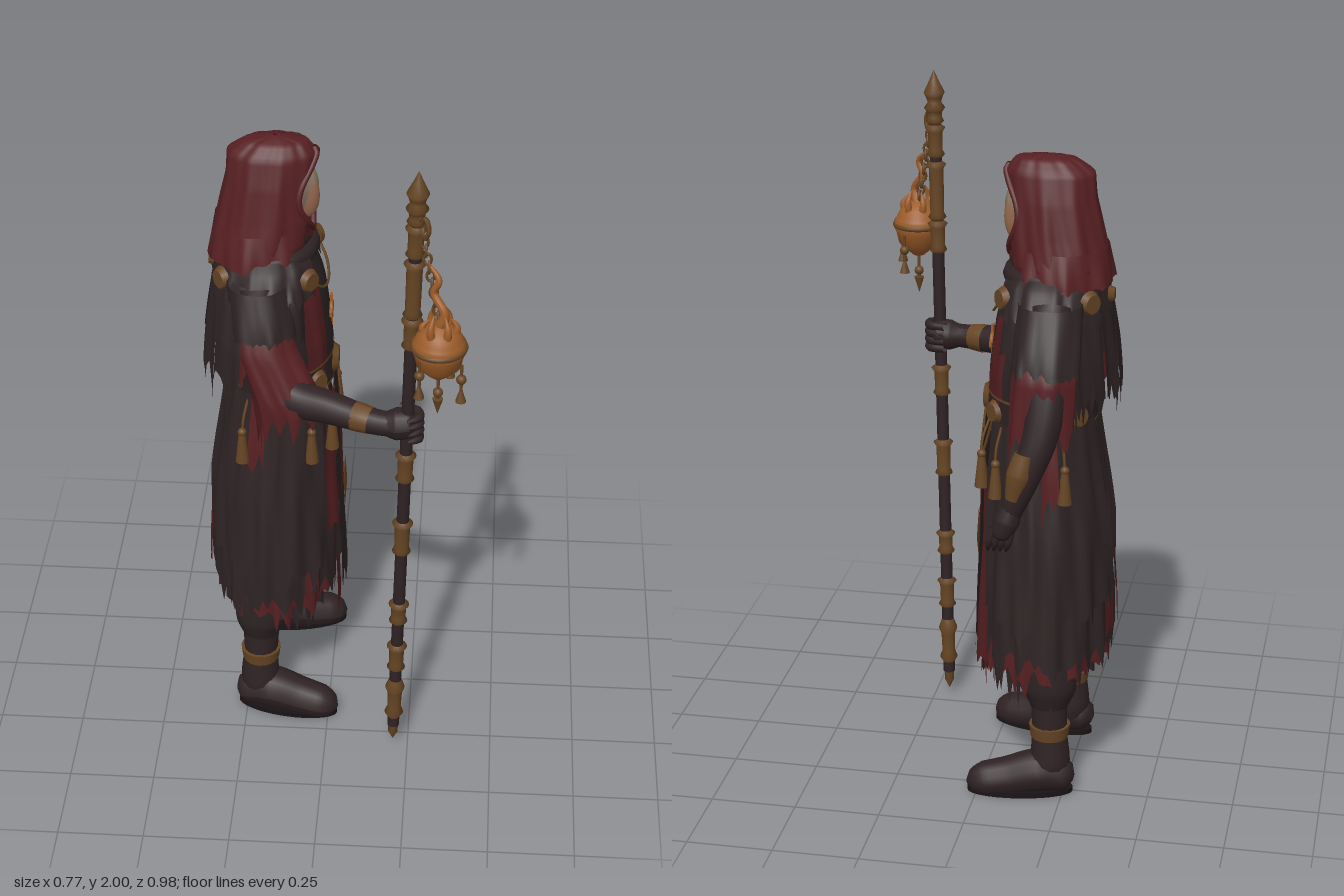
import * as THREE from 'three';

const paint = (name, color) => {
  const m = new THREE.MeshStandardMaterial({ color, side: THREE.DoubleSide });
  m.name = name;
  return m;
};
const dark = paint('dark cloth', 0x2e2324), red = paint('red cloth', 0x561f22);
const leather = paint('leather', 0x2f2224), bronze = paint('bronze', 0x664524);
const copper = paint('copper', 0x9c5c2a), bone = paint('bone', 0x948169);
const black = paint('shadow black', 0x191315), tan = paint('beak tan', 0x94664c);

const V = (x, y, z) => new THREE.Vector3(x, y, z);
const rad = THREE.MathUtils.degToRad;
let seed = 7;
const rnd = () => (seed = (seed * 16807) % 2147483647) / 2147483647;
const ZC = -0.065; // body axis in z; the figure faces +x

// Profiles: rows of [y, centre x, centre z, radius x, radius z], top to bottom
const TORSO = [[1.62, -0.18, ZC, .07, .08], [1.53, -.18, ZC, .11, .15], [1.42, -.175, ZC, .14, .2],
  [1.27, -.155, ZC, .14, .2], [1.1, -.15, ZC, .142, .175]];
const SKIRT = [[1.16, -.15, ZC, .136, .174], [1.0, -.155, ZC, .152, .205], [.8, -.168, ZC, .17, .24],
  [.55, -.17, ZC, .185, .275], [.2, -.17, ZC, .198, .3]];
const CAPE = [[1.58, -.185, ZC, .09, .1], [1.53, -.18, ZC, .135, .17], [1.45, -.18, ZC, .152, .24],
  [1.33, -.18, ZC, .168, .29], [1.1, -.19, ZC, .185, .3]];
const HOOD = [[1.876, -.16, ZC, .004, .004], [1.866, -.155, ZC, .085, .042], [1.83, -.168, ZC, .125, .074],
  [1.75, -.175, ZC, .125, .1], [1.65, -.185, ZC, .138, .124], [1.57, -.2, ZC, .142, .145], [1.52, -.2, ZC, .125, .13]];

function at(profile, y) {
  let i = 0;
  while (i < profile.length - 2 && y < profile[i + 1][0]) i++;
  const a = profile[i], b = profile[i + 1], k = (a[0] - y) / (a[0] - b[0]);
  return a.map((v, j) => v + (b[j] - v) * k);
}
function onSurface(profile, y, deg, off = 0) {
  const [, cx, cz, rx, rz] = at(profile, y), a = rad(deg);
  return V(cx + (rx + off) * Math.cos(a), y, cz + (rz + off) * Math.sin(a));
}

export function createModel() {
  const model = new THREE.Group();
  const add = (name, geo, mat, parent = model) => {
    const m = new THREE.Mesh(geo, mat);
    m.name = name;
    parent.add(m);
    return m;
  };

  // Cloth sheet following a profile between two heights and two angles, with folds and a torn hem
  function cloth(name, mat, profile, y0, y1, a0, a1, o = {}) {
    const { off = 0, jag = 0, fold = 0, waves = 14, rows = 14, open } = o;
    const n = Math.max(4, Math.round((a1 - a0) / (o.step || 4))), pos = [], idx = [];
    const drop = Array.from({ length: n + 1 }, (_, j) => jag * rnd() * (j % 3 ? .45 : 1));
    if (a1 - a0 === 360) drop[n] = drop[0];
    for (let i = 0; i <= rows; i++) {
      const t = i / rows, w = open ? open(t) : 0;
      for (let j = 0; j <= n; j++) {
        const deg = a0 + w + (a1 - a0 - 2 * w) * j / n, a = rad(deg);
        const y = y0 + (y1 - y0) * t;
        const f = fold * (.3 + .7 * t) * (Math.sin(a * waves + y * 5) + .5 * Math.sin(a * (waves + 9) - y * 9));
        const p = onSurface(profile, y, deg, off + f);
        pos.push(p.x, p.y - drop[j] * t ** 6, p.z);
        if (i < rows && j < n) {
          const q = i * (n + 1) + j, r = q + n + 1;
          idx.push(q, q + 1, r, q + 1, r + 1, r);
        }
      }
    }
    const g = new THREE.BufferGeometry();
    g.setAttribute('position', new THREE.Float32BufferAttribute(pos, 3));
    g.setIndex(idx);
    g.computeVertexNormals();
    return add(name, g, mat);
  }

  // Tube whose radius changes along points of [x, y, z, radius]; it never sinks below the floor
  function limb(name, mat, pts, seg = 24) {
    const curve = new THREE.CatmullRomCurve3(pts.map(p => V(p[0], p[1], p[2])));
    const g = new THREE.TubeGeometry(curve, seg, 1, 14), p = g.attributes.position;
    for (let i = 0; i < p.count; i++) {
      const u = Math.floor(i / 15) / seg, c = curve.getPointAt(u);
      const s = curve.getUtoTmapping(u) * (pts.length - 1), k = Math.min(Math.floor(s), pts.length - 2);
      const r = pts[k][3] + (pts[k + 1][3] - pts[k][3]) * (s - k);
      const v = V().fromBufferAttribute(p, i).sub(c).multiplyScalar(r).add(c);
      p.setXYZ(i, v.x, Math.max(v.y, 0), v.z);
    }
    g.computeVertexNormals();
    return add(name, g, mat);
  }
  const cord = (name, mat, pts, r) =>
    add(name, new THREE.TubeGeometry(new THREE.CatmullRomCurve3(pts), 24, r, 6), mat);
  const ball = (name, mat, p, sx, sy = sx, sz = sx) => {
    const m = add(name, new THREE.SphereGeometry(1, 16, 12).scale(sx, sy, sz), mat);
    m.position.copy(p);
    return m;
  };
  function medallion(name, p, deg, r, sides = 16) {
    const g = new THREE.CylinderGeometry(r * .75, r, .018, sides).rotateZ(-Math.PI / 2).rotateY(-rad(deg));
    add(name, g, bronze).position.copy(p);
  }

  // Robe: torso, chest strips, layered skirt
  cloth('robeTorso', dark, TORSO, 1.62, 1.1, 0, 360, { fold: .004 });
  for (const s of [0, 1]) {
    const range = (a, b) => s ? [-b, -a] : [a, b];
    cloth('chestRedStrip', red, TORSO, 1.53, 1.17, ...range(20, 52), { off: .012, fold: .003 });
    cloth('frontRedPanel', red, SKIRT, s ? .98 : 1.08, s ? .42 : .64, ...range(s ? 19 : 16, s ? 44 : 32),
      { off: .018, jag: .1, fold: .005 });
    cloth('frontDarkFlap', dark, SKIRT, 1.13, .58, ...range(40, 82), { off: .022, jag: .16, fold: .008 });
    cloth('sideRedStrip', red, SKIRT, 1.13, .96, ...range(100, 122), { off: .02, jag: .12, fold: .006 });
    cloth('backFlap', dark, SKIRT, 1.13, .62, ...range(115, 165), { off: .022, jag: .16, fold: .008 });
    cloth('backRedStrip', red, SKIRT, .9, .5, ...range(158, 172), { off: .016, jag: .1 });
  }
  cloth('lowFrontRedStrip', red, SKIRT, .85, .5, 46, 58, { off: .012, jag: .1, fold: .004 });
  cloth('chestDarkPanel', dark, TORSO, 1.58, 1.17, -21, 21, { off: .014 });
  cloth('underSkirt', red, SKIRT, .75, .42, 0, 360, { off: -.012, jag: .1, fold: .009 });
  cloth('skirt', dark, SKIRT, 1.16, .47, 0, 360, { jag: .14, fold: .009 });
  cloth('innerSkirt', dark, SKIRT, .7, .4, 0, 360, { off: -.035, jag: .14, fold: .008 });
  cloth('frontTabard', dark, SKIRT, 1.13, .42, -15, 15, { off: .022, jag: .1, fold: .002, step: 3 });
  cloth('frontTabardStripe', red, SKIRT, 1.06, .74, -9, 9, { off: .027, jag: .09, step: 3 });
  cloth('frontHemTail', red, SKIRT, .45, .3, -11, 11, { off: .0, jag: .08 });
  const diamond = add('tabardDiamond', new THREE.OctahedronGeometry(1).scale(.006, .09, .034), bronze);
  diamond.position.copy(onSurface(SKIRT, .72, 0, .031));

  // Belt with medallions and hanging vials
  cloth('belt', leather, TORSO, 1.2, 1.115, 0, 360, { off: .014, rows: 4 });
  for (const y of [1.2, 1.115]) cloth('beltEdge', bronze, TORSO, y + .004, y - .004, 0, 360, { off: .016, rows: 2 });
  for (const a of [0, 42, -42, 90, -90, 140, -140])
    medallion('beltMedallion', onSurface(TORSO, 1.155, a, .02), a, a ? .036 : .046, a ? 12 : 8);
  for (const a of [30, -30, 55, -55, 120, -120]) {
    const p = onSurface(SKIRT, 1.0, a, .034);
    cord('vialCord', bronze, [onSurface(TORSO, 1.12, a, .018), onSurface(SKIRT, 1.06, a, .036), p], .004);
    add('hangingVial', new THREE.CylinderGeometry(.01, .021, .1, 10), bronze).position.set(p.x, .97, p.z);
    ball('vialCap', bronze, V(p.x, 1.02, p.z), .013);
  }
  for (const s of [1, -1]) cord('beltChain', bronze, [onSurface(TORSO, 1.12, s * 40, .022),
    onSurface(SKIRT, 1.0, s * 22, .028), onSurface(SKIRT, .98, s * 8, .03), onSurface(TORSO, 1.12, 0, .025)], .004);

  // Capelet over the shoulders, with torn strips at the back
  cloth('capeUnderRed', red, CAPE, 1.4, 1.28, 100, 260, { off: -.012, jag: .08, fold: .006 });
  cloth('shoulderCape', dark, CAPE, 1.58, 1.37, 42, 318, { jag: .1, fold: .006 });
  cloth('upperCape', dark, CAPE, 1.59, 1.46, 30, 330, { off: .01, jag: .05, fold: .005 });
  for (let a = 108; a < 250; a += 16)
    cloth('capeStrip', dark, CAPE, 1.5, 1.24, a, a + 17, { off: .004 + .012 * rnd(), jag: .13, fold: .005, step: 3 });
  for (const a of [38, -38, 142, -142]) medallion('capeClasp', onSurface(CAPE, 1.49, a, .016), a, .036);
  medallion('backClasp', onSurface(CAPE, 1.48, 180, .018), 180, .025, 6);
  cord('chestChain', bronze, [38, 18, 0, -18, -38].map((a, i) =>
    onSurface(CAPE, 1.49 - [0, .05, .07, .05, 0][i], a, .012)), .004);
  for (const [y, r] of [[1.575, .095], [1.535, .112]])
    add('neckScarf', new THREE.TorusGeometry(1, .22, 8, 32).rotateX(Math.PI / 2).scale(r, .13, r * 1.15), dark)
      .position.set(-.172, y, ZC);

  // Chest emblem
  const emblem = onSurface(TORSO, 1.32, 0, .018);
  for (const [h, w] of [[.1, .014], [.014, .075]])
    add('emblemBar', new THREE.BoxGeometry(.008, h, w), copper).position.copy(emblem);
  add('emblemRing', new THREE.TorusGeometry(.022, .006, 6, 16).rotateY(Math.PI / 2), copper).position.copy(emblem);

  // Hood with an open face and a rolled rim
  const gape = t => 46 * Math.sin(Math.PI * THREE.MathUtils.clamp((t - .1) / .72, 0, 1));
  cloth('hood', red, HOOD, 1.876, 1.52, 0, 360, { open: gape, fold: .005, waves: 9, rows: 36 });
  const rim = [];
  for (let i = -20; i <= 20; i++) {
    const t = .1 + .72 * (1 - Math.abs(i) / 20);
    rim.push(onSurface(HOOD, 1.876 - .356 * t, Math.sign(i) * gape(t), 0));
  }
  add('hoodRim', new THREE.TubeGeometry(new THREE.CatmullRomCurve3(rim), 80, .009, 8), red);
  cloth('cowl', red, [[1.62, -.2, ZC, .135, .135], [1.5, -.205, ZC, .15, .18]], 1.62, 1.53, 50, 310,
    { jag: .03, fold: .007, waves: 7 });
  ball('hoodShadow', black, V(-.18, 1.71, ZC), .09, .13, .08);

  // Beaked mask: an ellipsoid pulled forward into a ridge that tapers to the chin
  const mask = new THREE.SphereGeometry(1, 32, 24), mp = mask.attributes.position;
  for (let i = 0; i < mp.count; i++) {
    const x = mp.getX(i), y = mp.getY(i), z = mp.getZ(i);
    const ridge = x > 0 ? .026 * Math.max(0, 1 - Math.abs(z) * 2.2) * (1 - y * y) : 0;
    mp.setXYZ(i, x * .048 + ridge, y * .108, z * (y < 0 ? .058 * (1 + y * .45) : .058));
  }
  mask.computeVertexNormals();
  add('mask', mask, bone).position.set(-.112, 1.722, ZC);
  ball('beak', tan, V(-.072, 1.69, ZC), .036, .07, .022);
  for (const s of [1, -1]) ball('eyeSlot', black, V(-.073, 1.75, ZC + s * .032), .006, .006, .011);

  // Free arm hanging on the -z side
  limb('freeArm', leather, [[-.2, 1.48, -.24, .06], [-.21, 1.32, -.34, .063], [-.2, 1.17, -.405, .05],
    [-.16, 1.05, -.435, .042], [-.13, .97, -.44, .034], [-.12, .94, -.44, .03]]);
  limb('freeHand', leather, [[-.13, .98, -.44, .028], [-.115, .93, -.445, .037], [-.1, .89, -.445, .03], [-.095, .87, -.44, .006]]);
  for (let i = 0; i < 4; i++) limb('finger', leather, [[-.13 + i * .018, .91, -.45, .011],
    [-.12 + i * .018, .865, -.45, .011], [-.11 + i * .017, .835, -.435, .004]], 8);
  limb('thumb', leather, [[-.1, .95, -.42, .013], [-.08, .91, -.405, .011], [-.075, .88, -.4, .004]], 8);
  limb('freeBracer', bronze, [[-.165, 1.13, -.442, .03], [-.15, 1.07, -.452, .036], [-.135, 1.0, -.455, .024]]);
  const freeSleeve = [[1.5, -.2, -.25, .08, .07], [1.32, -.2, -.34, .088, .075], [1.1, -.185, -.365, .09, .07]];
  cloth('freeSleeve', red, freeSleeve, 1.42, 1.19, 0, 360, { jag: .13, fold: .007, waves: 6, step: 9 });
  cloth('freeUpperSleeve', dark, freeSleeve, 1.5, 1.34, 0, 360, { off: .008, jag: .06, fold: .005, waves: 6, step: 9 });

  // Arm reaching forward to the staff
  limb('staffArm', leather, [[-.2, 1.48, .1, .06], [-.19, 1.34, .165, .06], [-.11, 1.22, .225, .056],
    [.02, 1.205, .275, .046], [.14, 1.195, .318, .036], [.21, 1.195, .333, .034]]);
  limb('armBand', bronze, [[.085, 1.198, .298, .043], [.105, 1.198, .306, .042], [.13, 1.196, .315, .039]], 8);
  limb('staffHand', leather, [[.16, 1.195, .325, .03], [.2, 1.195, .325, .046], [.24, 1.2, .325, .044], [.27, 1.2, .325, .012]]);
  for (let i = 0; i < 4; i++) limb('grippingFinger', leather, [[.21, 1.23 - i * .023, .29, .012],
    [.257, 1.228 - i * .023, .305, .014], [.265, 1.228 - i * .023, .34, .013], [.235, 1.228 - i * .023, .365, .006]], 10);
  const staffSleeve = [[1.5, -.2, .1, .075, .07], [1.34, -.175, .17, .085, .075], [1.2, -.105, .22, .092, .072],
    [1.0, -.085, .22, .06, .05]];
  cloth('staffSleeve', red, staffSleeve, 1.42, 1.17, 0, 360, { jag: .15, fold: .007, waves: 6, step: 9 });
  cloth('staffUpperSleeve', dark, staffSleeve, 1.5, 1.38, 0, 360, { off: .008, jag: .06, fold: .005, waves: 6, step: 9 });

  // Legs, boots and bronze cuffs
  for (const s of [1, -1]) {
    const z = d => ZC + s * d, side = s > 0 ? 'left' : 'right';
    limb(side + 'Trouser', dark, [[-.18, .62, z(.13), .08], [-.195, .42, z(.175), .085], [-.205, .33, z(.18), .08], [-.205, .265, z(.186), .05]]);
    limb(side + 'BootShaft', leather, [[-.205, .32, z(.184), .055], [-.208, .2, z(.188), .051], [-.21, .1, z(.19), .06], [-.2, .04, z(.19), .052]]);
    limb(side + 'Foot', leather, [[-.28, .045, z(.19), .012], [-.265, .05, z(.192), .044], [-.18, .065, z(.198), .065],
      [-.09, .045, z(.212), .058], [-.02, .035, z(.228), .053], [.015, .03, z(.235), .036], [.03, .028, z(.238), .004]]);
    const sole = add(side + 'Sole', new THREE.CylinderGeometry(1, 1, .016, 28).scale(.155, 1, .055), black);
    sole.position.set(-.125, .008, z(.21));
    sole.rotation.y = -s * .16;
    add(side + 'BootCuff', new THREE.CylinderGeometry(.06, .055, .038, 20), bronze).position.set(-.208, .198, z(.188));
  }

  // Leaning staff with bronze collars and a spear finial; heights run along the staff
  const staff = new THREE.Group();
  staff.name = 'staff';
  staff.position.set(.205, .02, .3);
  staff.quaternion.setFromUnitVectors(V(0, 1, 0), V(.045, 1.98, .045).normalize());
  model.add(staff);
  add('staffShaft', new THREE.CylinderGeometry(.018, .018, 1.82, 14).translate(0, .97, 0), leather, staff);
  const turned = (name, pts) => add(name, new THREE.LatheGeometry(pts.map(p => new THREE.Vector2(...p)), 16), bronze, staff);
  turned('staffFoot', [[0, 0], [.014, .03], [.016, .09], [.028, .11], [.02, .13], [.022, .19], [.029, .21], [.018, .24]]);
  for (const [y, h] of [[.33, .1], [.5, .08], [.78, .12], [1.03, .1], [1.48, .1], [1.62, .18], [1.77, .1], [1.85, .06]])
    turned('staffCollar', [[.017, y - h / 2], [.027, y - h / 2 + .01], [.021, y - h / 2 + .022], [.022, y + h / 2 - .022],
      [.03, y + h / 2 - .01], [.017, y + h / 2]]);
  turned('staffFinial', [[.018, 1.85], [.031, 1.87], [.02, 1.885], [.024, 1.9], [.031, 1.915], [.014, 1.95], [0, 1.982]]);

  // Hanging censer: bowl, lid, flames, chain and tassels
  const cx = .315, cz = .415;
  const bowl = [[0, 1.41], [.016, 1.415], [.034, 1.43], [.06, 1.455], [.068, 1.49], [.073, 1.5], [.073, 1.525], [.066, 1.53],
    [.064, 1.54], [.052, 1.56], [.03, 1.575], [.014, 1.585], [0, 1.59]].map(p => new THREE.Vector2(...p));
  add('censerBowl', new THREE.LatheGeometry(bowl, 28), copper).position.set(cx, 0, cz);
  add('censerBand', new THREE.TorusGeometry(.07, .008, 8, 32).rotateX(Math.PI / 2), bronze).position.set(cx, 1.512, cz);
  for (let i = 0; i < 6; i++) {
    const a = i * Math.PI / 3, c = Math.cos(a), s = Math.sin(a), h = .04 + .035 * rnd();
    limb('flame', copper, [[cx + .04 * c, 1.55, cz + .04 * s, .013], [cx + .046 * c, 1.55 + h * .5, cz + .046 * s, .01],
      [cx + .03 * c, 1.55 + h, cz + .03 * s, .002]], 8);
  }
  limb('curlingFlame', copper, [[cx, 1.57, cz, .02], [cx + .012, 1.62, cz + .01, .012], [cx - .018, 1.67, cz - .015, .011],
    [cx - .005, 1.71, cz - .01, .009], [cx - .04, 1.75, cz - .04, .003]]);
  for (let i = 0; i < 14; i++) {
    const t = i / 13, link = add('chainLink', new THREE.TorusGeometry(.013, .0045, 6, 12).scale(.8, 1.2, 1), bronze);
    link.position.set(.25 + t * .06, 1.89 - t * .29, .345 + t * .065);
    link.rotation.y = i % 2 * Math.PI / 2;
  }
  cord('censerHook', bronze, [V(.25, 1.82, .342), V(.27, 1.87, .365), V(.28, 1.84, .375), V(.27, 1.81, .365)], .007);
  for (const [dx, dz, y] of [[0, 0, 1.41], [.062, .055, 1.49], [-.05, .045, 1.49], [.03, -.065, 1.49]]) {
    const x = cx + dx, z = cz + dz;
    cord('tasselCord', bronze, [V(x, y, z), V(x, y - .04, z), V(x, y - .08, z)], .005);
    ball('tasselBead', bronze, V(x, y - .045, z), .014);
    add('tassel', new THREE.ConeGeometry(.015, .05, 10).rotateX(dx ? 0 : Math.PI), bronze).position.set(x, y - .09, z);
  }
  return model;
}
